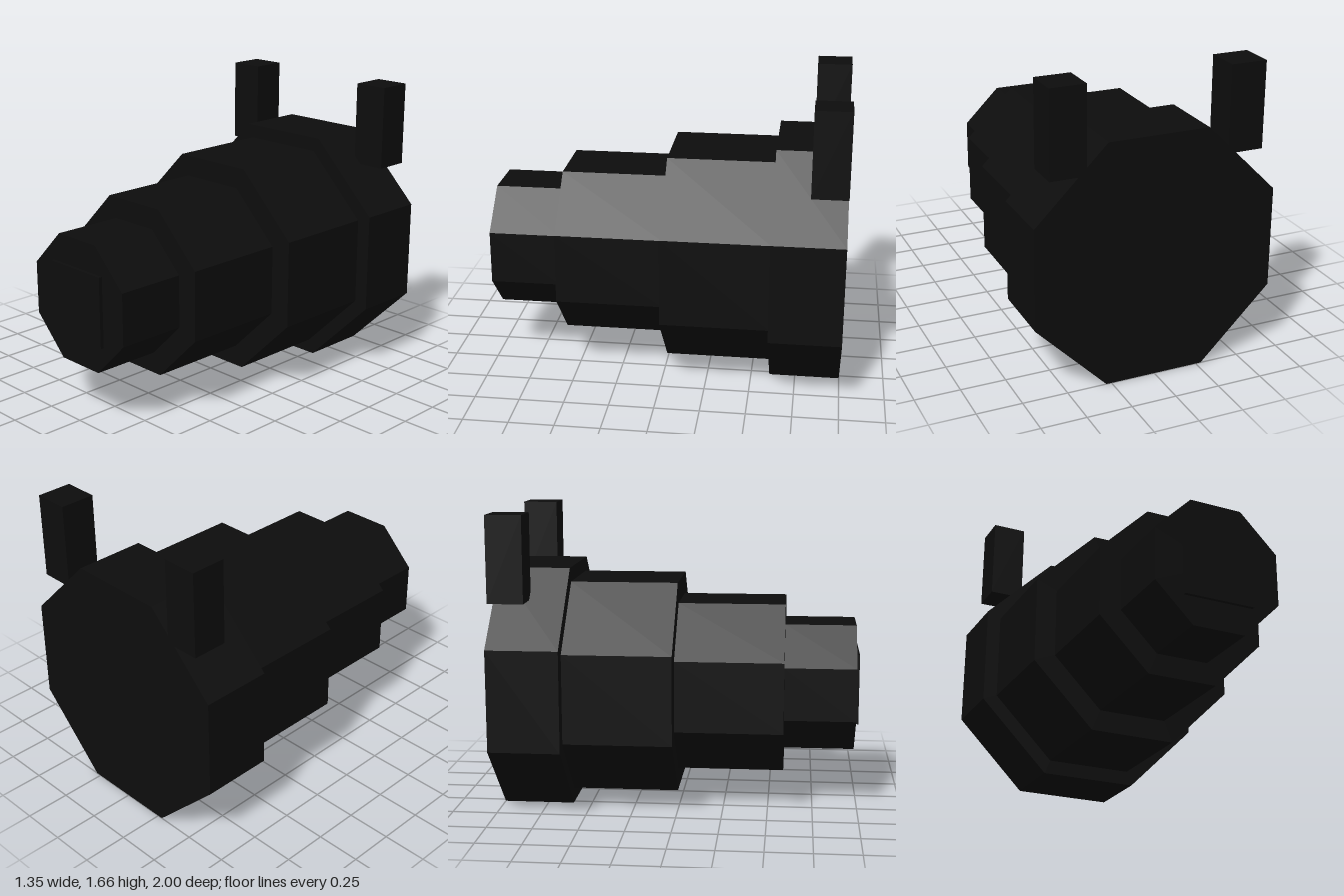
import * as THREE from 'three';

export function createModel() {
  const group = new THREE.Group();
  const black = new THREE.MeshStandardMaterial({ color: 0x0d0d0d, flatShading: true });
  black.name = 'black';
  const centreY = 0.675;

  const add = (name, geometry, x, y, z) => {
    const mesh = new THREE.Mesh(geometry, black);
    mesh.name = name;
    mesh.position.set(x, y, z);
    group.add(mesh);
  };

  // Stepped octagonal body: name, half width across flats, back z, front z
  const sections = [
    ['rearSection', 0.675, -1, -0.605],
    ['middleSection', 0.595, -0.605, -0.01],
    ['foreSection', 0.475, -0.01, 0.585],
    ['noseSection', 0.355, 0.585, 0.98],
  ];
  for (const [name, half, back, front] of sections) {
    const radius = half / Math.cos(Math.PI / 8);
    const geometry = new THREE.CylinderGeometry(radius, radius, front - back, 8, 1, false, Math.PI / 8);
    geometry.rotateX(Math.PI / 2);
    add(name, geometry, 0, centreY, (back + front) / 2);
  }

  // Square plate on the nose
  add('nosePlate', new THREE.BoxGeometry(0.395, 0.395, 0.03), 0, centreY, 0.985);

  // Upright posts above the rear shoulders
  for (const side of [-1, 1]) {
    add(side > 0 ? 'leftPost' : 'rightPost', new THREE.BoxGeometry(0.197, 0.473, 0.197),
      side * 0.493, 1.4275, -0.9015);
  }
  return group;
}
